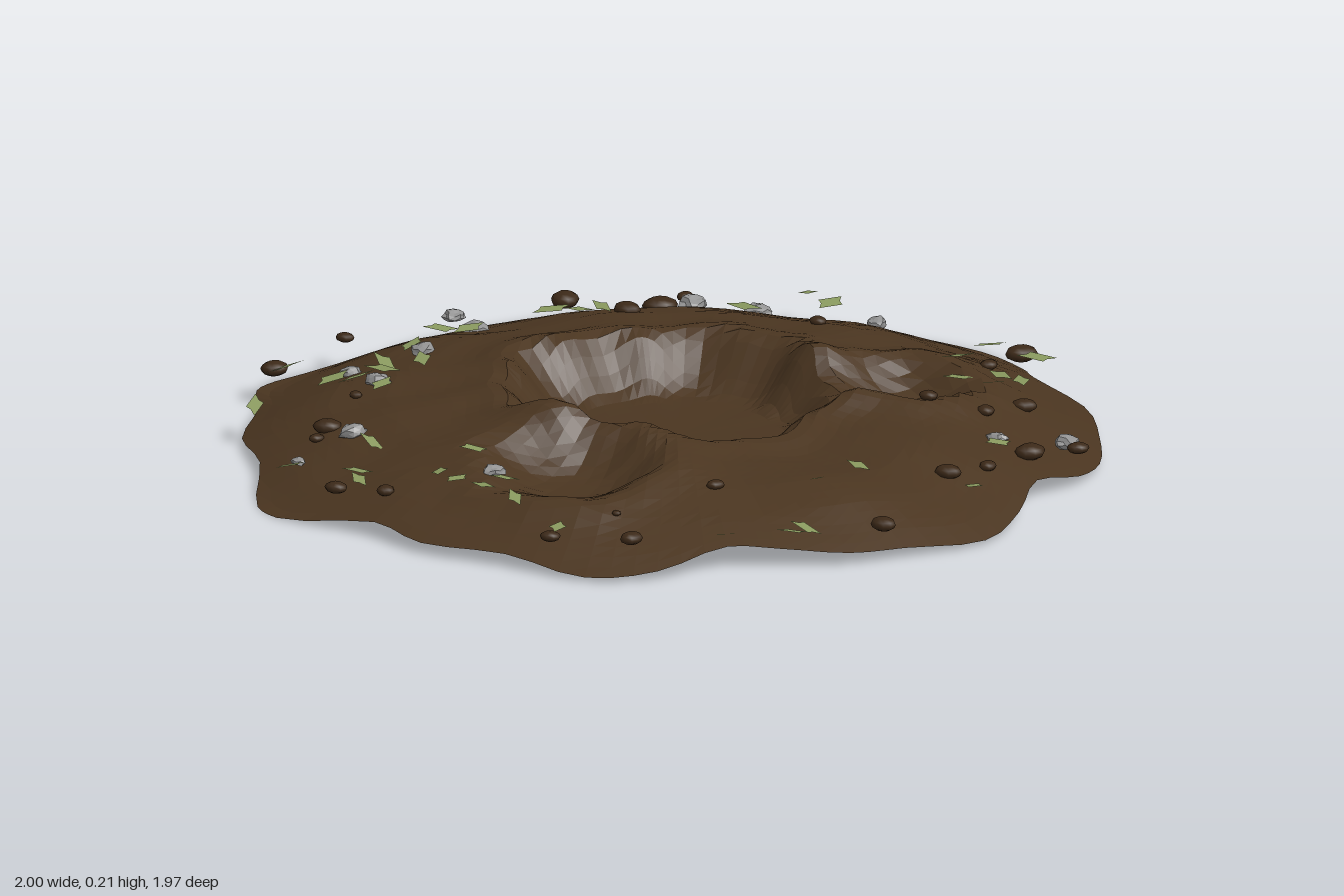
import * as THREE from 'three';

const mat = (name, color, extra = {}) => Object.assign(new THREE.MeshStandardMaterial({ color, ...extra }), { name });
const soil = mat('soil brown', 0x4a3520, { side: THREE.DoubleSide });
const clod = mat('dark earth', 0x3c2918);
const stone = mat('grey stone', 0x929292);
const leaf = mat('leaf green', 0x87975d, { side: THREE.DoubleSide });
const white = mat('white', 0xffffff);

// Wavy outer edge of the mound, x and z pairs
const EDGE = [
  1, -.1, .97, .08, .9, .2, .89, .385, .76, .59, .64, .73, .53, .79, .385, .81, .246, .91, .086, .98,
  -.12, .94, -.25, .9, -.385, .81, -.476, .74, -.65, .7, -.78, .6, -.845, .4, -.925, .2, -.925, .04,
  -1, -.21, -.98, -.3, -.81, -.49, -.7, -.68, -.53, -.82, -.42, -.955, -.34, -.98, -.086, -.95,
  .086, -.985, .3, -.957, .5, -.91, .58, -.845, .66, -.68, .856, -.5, .93, -.29];

// Craters: centre, floor radius, rim radius, floor height, rim height
const CRATERS = [
  { x: -.5, z: .23, r0: .06, r1: .23, floor: .068, rim: .016 },
  { x: .45, z: .25, r0: .06, r1: .2, floor: .066, rim: .02 },
  { x: .035, z: -.045, r0: .25, r1: .41, floor: .021, rim: .016 }];

const step = THREE.MathUtils.smoothstep;
const bump = (x, z, cx, cz, w) => Math.exp(-((x - cx) ** 2 + (z - cz) ** 2) / (w * w));

// Profile of the outer slope by distance from the centre
const SLOPE = [[0, .14], [.5, .138], [.65, .123], [.78, .092], [.9, .047], [.98, .012], [1.03, 0]];
function slope(r) {
  for (let i = 1; i < SLOPE.length; i++) {
    const [a, ya] = SLOPE[i - 1], [b, yb] = SLOPE[i];
    if (r <= b) return ya + (yb - ya) * (r - a) / (b - a);
  }
  return 0;
}

// Ground height at any spot
function height(x, z) {
  const r = Math.hypot(x, z);
  let h = slope(r);
  const wild = 1 - step(r, .75, .98);
  h += wild * .007 * Math.sin(9 * x + 4 * z) * Math.cos(8 * z - 3 * x);
  h += wild * .004 * Math.sin(13 * Math.atan2(z, x) + 6 * r) * step(r, .3, .5);
  h += .044 * bump(x, z, -.37, .01, .09) + .026 * bump(x, z, .34, .02, .08);
  h -= .028 * bump(x, z, -.02, .46, .2);
  for (const c of CRATERS) {
    const a = Math.atan2(z - c.z, x - c.x);
    const d = Math.hypot(x - c.x, z - c.z) * (1 + .045 * Math.sin(5 * a + 1) + .03 * Math.sin(11 * a));
    h += c.rim * Math.exp(-(((d - c.r1) / .06) ** 2));
    const bowl = c.floor + .025 * Math.min(1, d / c.r1) ** 2;
    h = Math.min(h, bowl + (h - bowl) * step(d, c.r0, c.r1));
  }
  return Math.max(h, .002);
}

// Ground sheet: rings from the centre out to the wavy edge
function ground() {
  const pts = [];
  for (let i = 0; i < EDGE.length; i += 2) pts.push(new THREE.Vector3(EDGE[i], 0, EDGE[i + 1]));
  const edge = new THREE.CatmullRomCurve3(pts, true);
  const SEG = 102, RINGS = 30, pos = [], idx = [];
  for (let j = 0; j <= RINGS; j++) {
    for (let i = 0; i < SEG; i++) {
      const p = edge.getPoint(i / SEG).multiplyScalar(j / RINGS);
      pos.push(p.x, height(p.x, p.z), p.z);
      if (j === RINGS) continue;
      const a = j * SEG + i, b = j * SEG + (i + 1) % SEG;
      if (j > 0) idx.push(a, b, b + SEG);
      idx.push(a, b + SEG, a + SEG);
    }
  }
  let g = new THREE.BufferGeometry();
  g.setAttribute('position', new THREE.Float32BufferAttribute(pos, 3));
  g.setIndex(idx);
  g = g.toNonIndexed();
  g.computeVertexNormals();
  return g;
}

// Stone with points standing out all round
function jaggedStone() {
  const g = new THREE.IcosahedronGeometry(1, 1), p = g.attributes.position, v = new THREE.Vector3();
  for (let i = 0; i < p.count; i++) {
    v.fromBufferAttribute(p, i);
    v.multiplyScalar(1.05 + .3 * Math.sin(9 * v.x + 5 * v.y) * Math.cos(8 * v.z - 2 * v.y));
    p.setXYZ(i, v.x, v.y, v.z);
  }
  g.computeVertexNormals();
  return g;
}

// Loose pieces, in hundredths: x, z, radius
const CLODS = [
  -44, -87, 3.4, -17, -94, 2.2, 39, -83, 3.8, 51, -64, 4.2, 36, -58, 3.4, 61, -67, 2.2, -66, -43, 3.4,
  -49, -53, 1.7, -71, -41, 1.9, -91, -11, 2.7, -84, -2, 2.4, 91, 14.5, 3.8, 61, -21, 2.2, 74, 23, 2.3,
  63, 48, 3, 49, 51, 2.4, 45, 71, 3.7, 18, 74, 3.2, 29, 75, 2.3, 55, 76, 2.6, -15, 90, 3.2, -65, 61, 2.9,
  -78, 48, 2.4, -60, 50, 1.2, -34, 54, 2.2, 38, 44, 2.3];
const STONES = [
  12, -90, 2.6, 8, -78, 3, -17, -67, 3, -35, -71, 2.5, -40, -56, 3, 59, -62, 3.5, 66, -48, 3,
  81, -24, 2.5, -66, -34, 3.2, 42, 63, 2.5, 56, 71, 3.1, -64, 12, 2.5, -85, -31, 1.7];
// Leaves, in hundredths: x, z
const LEAVES = [
  -43, -68, -42, -61, -35, -60, -30, -65, -25, -58, -17, -71, 0, -71, 2, -83, 26, -63, 31, -61, -67, -67,
  -43, -51, -90, -28, -81, -15, -69, -24, -85, -10, -74, 5, -74, 11, -63, 4, -65, 17, -73, 19, -73, 30,
  -74, 46, -49, 75, -36, 83, -32, 83, 0, 64, -15, 67, 17, 84, 39, 67, 59, 30, 64, 24, 68, 34, 75, 33,
  61, 40, 88, 7, 90, 21, 57, -42, 66, -49, 82, -49, 81, -40, 28, -75, -44, -84];

const restY = (x, z) => Math.max(height(x, z) + .005, .08);

function scatterRocks(group, list, name, geo, material) {
  for (let i = 0; i < list.length; i += 3) {
    const [x, z, r] = list.slice(i, i + 3).map(v => v / 100);
    const m = new THREE.Mesh(geo, material);
    m.name = name;
    m.position.set(x, restY(x, z), z);
    m.scale.set(r, r * .5, r * .85);
    m.rotation.y = i * 1.7;
    group.add(m);
  }
}

export function createModel() {
  const model = new THREE.Group();
  model.name = 'crater';

  const sheet = new THREE.Mesh(ground(), soil);
  sheet.name = 'crateredGround';
  model.add(sheet);

  // Rounded clods and angular stones
  const debris = new THREE.Group();
  debris.name = 'debris';
  scatterRocks(debris, CLODS, 'earthClod', new THREE.SphereGeometry(1, 9, 6), clod);
  scatterRocks(debris, STONES, 'stone', jaggedStone(), stone);
  model.add(debris);

  // Jagged flat leaves
  const outline = [[-.05, 0], [-.024, .011], [-.014, .025], [.009, .016], [.05, 0], [.024, -.011], [.014, -.025], [-.009, -.016]];
  const leafGeo = new THREE.ShapeGeometry(new THREE.Shape(outline.map(p => new THREE.Vector2(...p)))).rotateX(-Math.PI / 2);
  const foliage = new THREE.Group();
  foliage.name = 'leaves';
  for (let i = 0; i < LEAVES.length; i += 2) {
    const x = LEAVES[i] / 100, z = LEAVES[i + 1] / 100;
    const m = new THREE.Mesh(leafGeo, leaf);
    m.name = 'leaf';
    m.position.set(x, restY(x, z) + .01, z);
    m.rotation.set(.25 * Math.sin(i * 2.3), i * 1.3, .2 * Math.cos(i * 1.9));
    m.scale.setScalar(.95 + .2 * Math.sin(i * 3.1));
    foliage.add(m);
  }
  model.add(foliage);

  // Small white disc on the crater floor
  const disc = new THREE.Mesh(new THREE.CylinderGeometry(.014, .014, .014, 12), white);
  disc.name = 'centreDisc';
  disc.position.set(0, .022, -.028);
  model.add(disc);

  return model;
}
